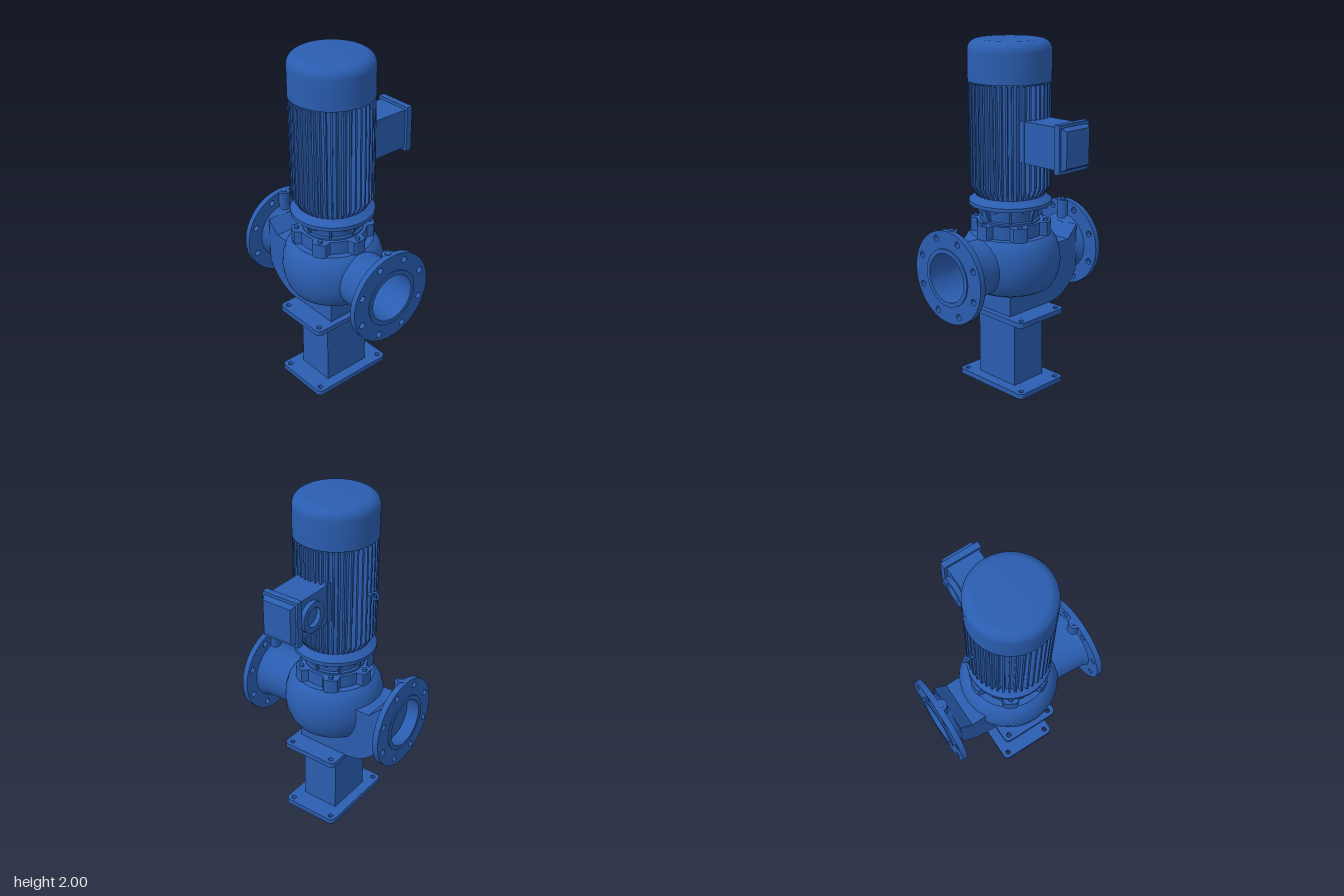
import * as THREE from 'three';
import { toCreasedNormals } from 'three/addons/utils/BufferGeometryUtils.js';

const material = new THREE.MeshStandardMaterial({ color: 0x2a5db0 });
const AXIS_X = -0.11;
const PORT_Y = 0.752;

function add(parent, name, geometry, x = 0, y = 0, z = 0) {
  const mesh = new THREE.Mesh(geometry, material);
  mesh.name = name;
  mesh.position.set(x, y, z);
  parent.add(mesh);
  return mesh;
}

const vectors = (points) => points.map(([x, y]) => new THREE.Vector2(x, y));

// Turned part from [radius, height] pairs, listed upward on the outside
const turned = (points, segments = 64) =>
  toCreasedNormals(new THREE.LatheGeometry(vectors(points), segments), 0.6);

function extrude(shape, depth) {
  return toCreasedNormals(new THREE.ExtrudeGeometry(shape, { depth, bevelEnabled: false, curveSegments: 24 }), 0.6);
}

function circleHole(shape, x, y, r) {
  shape.holes.push(new THREE.Path().absarc(x, y, r, 0, Math.PI * 2, true));
}

// Horizontal plate with rounded corners, bolt holes and an optional centre hole
function basePlate(centreHole) {
  const w = 0.26, d = 0.177, r = 0.03;
  const s = new THREE.Shape();
  s.absarc(w - r, d - r, r, 0, Math.PI / 2);
  s.absarc(-w + r, d - r, r, Math.PI / 2, Math.PI);
  s.absarc(-w + r, -d + r, r, Math.PI, Math.PI * 1.5);
  s.absarc(w - r, -d + r, r, Math.PI * 1.5, Math.PI * 2);
  for (const x of [-1, 1]) for (const y of [-1, 1]) circleHole(s, x * 0.225, y * 0.14, 0.014);
  if (centreHole) circleHole(s, 0, 0, 0.08);
  return extrude(s, 0.03).rotateX(-Math.PI / 2);
}

// Pipe flange facing +z with its hub, raised face and gauge boss
function pipeFlange(name, hubProfile) {
  const g = new THREE.Group();
  g.name = name;
  const disc = new THREE.Shape().absarc(0, 0, 0.264, 0, Math.PI * 2);
  circleHole(disc, 0, 0, 0.139);
  for (let i = 0; i < 8; i++) {
    const a = (i + 0.5) * Math.PI / 4;
    circleHole(disc, 0.224 * Math.cos(a), 0.224 * Math.sin(a), 0.018);
  }
  add(g, 'flangeDisc', extrude(disc, 0.034), 0, 0, 0.446);
  const face = [[0.139, 0.475], [0.164, 0.475], [0.164, 0.487], [0.139, 0.487], [0.139, 0.475]];
  add(g, 'raisedFace', turned(face).rotateX(Math.PI / 2));
  add(g, 'hub', turned(hubProfile).rotateX(Math.PI / 2));
  add(g, 'gaugeBoss', new THREE.CylinderGeometry(0.035, 0.035, 0.11, 24), 0, 0.207, 0.445);
  add(g, 'gaugePlug', new THREE.CylinderGeometry(0.018, 0.018, 0.01, 20), 0, 0.262, 0.445);
  g.position.y = PORT_Y;
  return g;
}

export function createModel() {
  const model = new THREE.Group();
  const pump = new THREE.Group();
  pump.name = 'pump';
  pump.position.x = AXIS_X;
  model.add(pump);

  // Pedestal
  add(pump, 'footPlate', basePlate(true));
  add(pump, 'upperPlate', basePlate(false), 0, 0.435, 0);
  const column = new THREE.Shape(vectors([[-0.145, -0.115], [0.145, -0.115], [0.145, 0.115], [-0.145, 0.115]]));
  circleHole(column, 0, 0, 0.08);
  add(pump, 'column', extrude(column, 0.42).rotateX(-Math.PI / 2), 0, 0.02, 0);

  // Suction elbow: side profile in z and y, extruded across x
  const elbow = new THREE.Shape();
  elbow.moveTo(0.143, 0.463);
  elbow.lineTo(0.143, 0.8);
  elbow.lineTo(-0.24, 0.817);
  elbow.lineTo(-0.335, 0.817);
  elbow.lineTo(-0.41, 0.892);
  elbow.lineTo(-0.41, 0.615);
  elbow.bezierCurveTo(-0.36, 0.52, -0.28, 0.463, -0.18, 0.463);
  add(pump, 'suctionElbow', extrude(elbow, 0.28).rotateY(-Math.PI / 2), 0.14, 0, 0);

  // Rounded pump casing
  add(pump, 'casing', turned([
    [0, 0.59], [0.215, 0.59], [0.24, 0.605], [0.262, 0.64], [0.28, 0.69], [0.288, 0.75],
    [0.283, 0.81], [0.267, 0.865], [0.248, 0.895], [0.225, 0.914], [0, 0.914]]));

  // Front and back pipe connections
  pump.add(pipeFlange('dischargePort', [
    [0.139, 0.15], [0.157, 0.15], [0.157, 0.25], [0.165, 0.42], [0.177, 0.448], [0.139, 0.48], [0.139, 0.15]]));
  const suction = pipeFlange('suctionPort', [
    [0.139, 0.4], [0.14, 0.4], [0.155, 0.425], [0.174, 0.448], [0.139, 0.48], [0.139, 0.4]]);
  suction.rotation.y = Math.PI;
  pump.add(suction);

  // Six-lobed casing cover with bolts
  const cover = [];
  for (let i = 0; i < 144; i++) {
    const a = i * Math.PI / 72;
    const lobe = THREE.MathUtils.smoothstep(-Math.cos(6 * a), -0.1, 0.65);
    const r = 0.188 + 0.043 * lobe;
    cover.push([r * Math.cos(a), r * Math.sin(a)]);
  }
  add(pump, 'casingCover', extrude(new THREE.Shape(vectors(cover)), 0.08).rotateX(-Math.PI / 2), 0, 0.91, 0);
  for (let i = 0; i < 6; i++) {
    const a = Math.PI / 6 + i * Math.PI / 3;
    add(pump, 'coverBolt', new THREE.CylinderGeometry(0.014, 0.014, 0.016, 6),
      0.205 * Math.cos(a), 0.996, 0.205 * Math.sin(a));
  }

  // Lantern between pump and motor
  add(pump, 'lantern', turned([
    [0, 0.98], [0.17, 0.98], [0.17, 1.0], [0.158, 1.005], [0.168, 1.087], [0.234, 1.087], [0.234, 1.108],
    [0.21, 1.125], [0.19, 1.14], [0.19, 1.16], [0, 1.16]]));
  const rib = new THREE.Shape(vectors([[0.14, 0.995], [0.163, 0.995], [0.2, 1.09], [0.14, 1.09]]));
  const ribGeometry = extrude(rib, 0.014).translate(0, 0, -0.007);
  const boltGeometry = new THREE.CylinderGeometry(0.013, 0.013, 0.018, 6);
  for (let i = 0; i < 8; i++) {
    add(pump, 'lanternRib', ribGeometry).rotation.y = i * Math.PI / 4;
    const a = (i + 0.5) * Math.PI / 4;
    add(pump, 'motorBolt', boltGeometry, 0.212 * Math.cos(a), 1.08, 0.212 * Math.sin(a));
  }

  // Motor barrel, cooling fins and fan cover
  add(pump, 'motorBarrel', new THREE.CylinderGeometry(0.203, 0.19, 0.65, 64), 0, 1.455, 0);
  const fin = new THREE.Shape(vectors([[0.17, 1.13], [0.195, 1.14], [0.231, 1.2], [0.231, 1.768], [0.17, 1.768]]));
  const finGeometry = extrude(fin, 0.011).translate(0, 0, -0.0055);
  for (let i = 0; i < 44; i++) add(pump, 'coolingFin', finGeometry).rotation.y = i * Math.PI / 22;
  const fan = [[0, 1.776], [0.232, 1.776], [0.232, 1.94]];
  for (let i = 1; i <= 8; i++) {
    const a = i * Math.PI / 16;
    fan.push([0.172 + 0.06 * Math.cos(a), 1.94 + 0.06 * Math.sin(a)]);
  }
  add(pump, 'fanCover', turned([...fan, [0, 2]]));

  // Lifting eye on the back
  add(pump, 'eyeShank', new THREE.CylinderGeometry(0.013, 0.013, 0.05, 16).rotateX(Math.PI / 2), 0, 1.483, -0.215);
  add(pump, 'liftingEye', new THREE.TorusGeometry(0.021, 0.006, 10, 28).rotateY(Math.PI / 2), 0, 1.483, -0.26);

  // Terminal box on the left side
  const box = new THREE.Group();
  box.name = 'terminalBox';
  box.position.y = 1.471;
  model.add(box);
  add(box, 'boxBody', new THREE.BoxGeometry(0.28, 0.228, 0.194), 0.195, 0, 0);
  add(box, 'boxRim', new THREE.BoxGeometry(0.036, 0.262, 0.226), 0.347, 0, 0);
  const lid = new THREE.BoxGeometry(0.03, 0.23, 0.204);
  const p = lid.attributes.position;
  for (let i = 0; i < p.count; i++) {
    if (p.getX(i) > 0) p.setXYZ(i, p.getX(i), p.getY(i) * 0.86, p.getZ(i) * 0.86);
  }
  lid.computeVertexNormals();
  add(box, 'boxLid', lid, 0.378, 0, 0);
  const entry = [[0.055, 0], [0.086, 0], [0.086, 0.03], [0.055, 0.03], [0.055, 0]];
  add(box, 'cableEntry', turned(entry, 40).rotateX(-Math.PI / 2), 0.243, 0, -0.094);

  return model;
}
